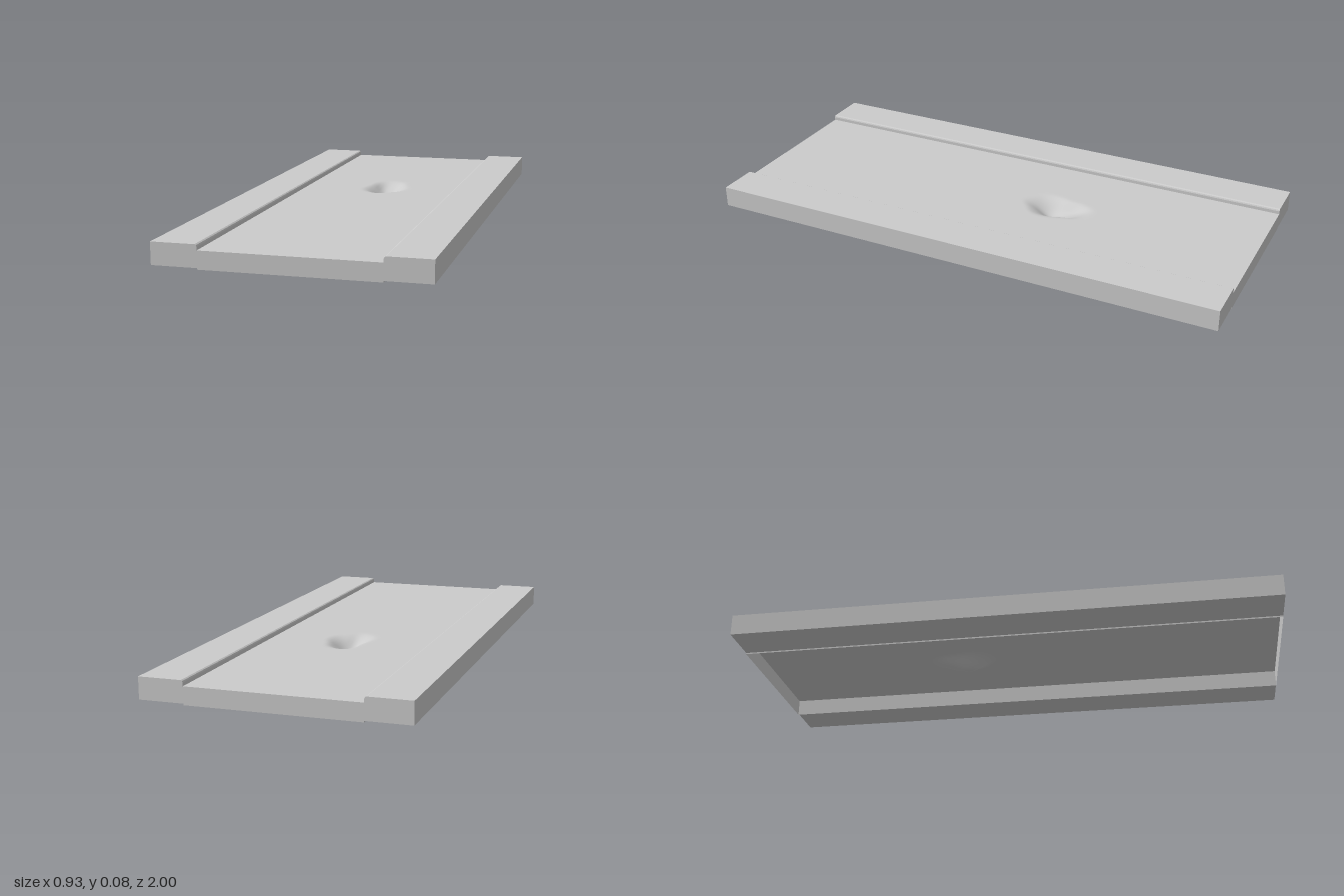
import * as THREE from 'three';

const LENGTH = 2;
const ROAD_HALF = 0.306;
const ROAD_TOP = 0.063;

// Depth of the worn hollow at a point of the road surface
function hollowDepth(x, z) {
  const dx = (x - 0.013) / 0.085;
  const dz = (z + 0.215) / 0.145;
  const angle = Math.atan2(dz, dx);
  const edge = 1 + 0.08 * Math.sin(3 * angle + 0.6) + 0.05 * Math.sin(5 * angle);
  const r = Math.hypot(dx, dz) / edge;
  if (r >= 1) return 0;
  const rough = 1 + 0.15 * Math.sin(50 * x + 1) * Math.cos(35 * z);
  return 0.042 * (1 - THREE.MathUtils.smoothstep(r, 0.1, 1)) * rough;
}

export function createModel() {
  const model = new THREE.Group();
  const solid = new THREE.MeshStandardMaterial({ color: 0xcccccc });
  const thin = new THREE.MeshStandardMaterial({ color: 0xcccccc, side: THREE.DoubleSide });

  function add(parent, name, geometry, material) {
    const mesh = new THREE.Mesh(geometry, material);
    mesh.name = name;
    parent.add(mesh);
    return mesh;
  }

  // Road: a thin surface with a hollow, skirted on four sides and open below
  const road = new THREE.Group();
  road.name = 'road';
  model.add(road);

  const surface = new THREE.PlaneGeometry(ROAD_HALF * 2, LENGTH, 50, 160).rotateX(-Math.PI / 2);
  const p = surface.attributes.position;
  for (let i = 0; i < p.count; i++) {
    p.setY(i, ROAD_TOP - hollowDepth(p.getX(i), p.getZ(i)));
  }
  surface.computeVertexNormals();
  add(road, 'roadSurface', surface, thin);

  for (const s of [-1, 1]) {
    const end = add(road, s > 0 ? 'frontSkirt' : 'backSkirt',
      new THREE.PlaneGeometry(ROAD_HALF * 2, ROAD_TOP), thin);
    end.position.set(0, ROAD_TOP / 2, s * LENGTH / 2);
    if (s < 0) end.rotation.y = Math.PI;

    const side = add(road, s > 0 ? 'leftSkirt' : 'rightSkirt',
      new THREE.PlaneGeometry(LENGTH, ROAD_TOP), thin);
    side.position.set(s * ROAD_HALF, ROAD_TOP / 2, 0);
    side.rotation.y = s * Math.PI / 2;
  }

  // Pavements: raised slabs with a chamfered kerb edge towards the road
  for (const s of [-1, 1]) {
    const profile = new THREE.Shape(
      [[0.306, 0.005], [0.466, 0.005], [0.466, 0.083], [0.313, 0.083], [0.308, 0.08], [0.306, 0.075]]
        .map(([x, y]) => new THREE.Vector2(s * x, y)));
    const slab = new THREE.ExtrudeGeometry(profile, { depth: LENGTH, bevelEnabled: false });
    slab.translate(0, 0, -LENGTH / 2);
    add(model, s > 0 ? 'leftPavement' : 'rightPavement', slab, solid);
  }

  return model;
}
